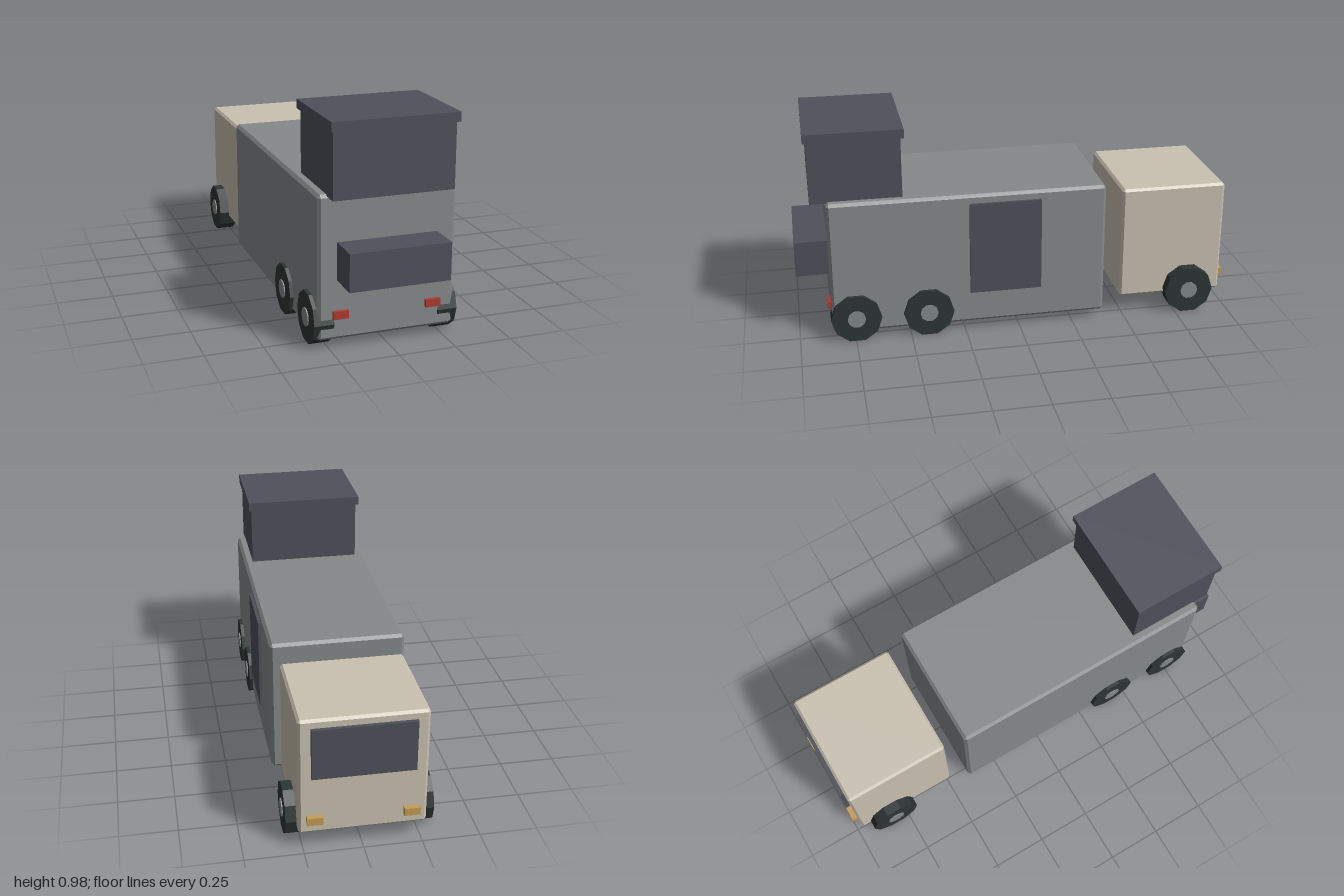
import * as THREE from 'three';
import { ConvexGeometry } from 'three/addons/geometries/ConvexGeometry.js';

const material = (name, color) => {
  const m = new THREE.MeshStandardMaterial({ color });
  m.name = name;
  return m;
};

export function createModel() {
  const model = new THREE.Group();
  model.name = 'truck';

  const grey = material('body grey', 0x868a8b);
  const cream = material('cab cream', 0xcac2b2);
  const slate = material('dark slate', 0x4e515b);
  const rubber = material('tyre rubber', 0x2d3635);
  const red = material('tail light red', 0xad3a31);
  const amber = material('headlight amber', 0xc49c54);

  const add = (name, geometry, mat) => {
    const mesh = new THREE.Mesh(geometry, mat);
    mesh.name = name;
    model.add(mesh);
    return mesh;
  };

  // Plain box given by its extents on each axis
  const box = (name, mat, [x0, x1], [y0, y1], [z0, z1]) => {
    const mesh = add(name, new THREE.BoxGeometry(x1 - x0, y1 - y0, z1 - z0), mat);
    mesh.position.set((x0 + x1) / 2, (y0 + y1) / 2, (z0 + z1) / 2);
    return mesh;
  };

  // Box with every edge chamfered: each corner becomes three points
  const chamferBox = (name, mat, w, [y0, y1], [z0, z1], c) => {
    const half = [w / 2, (y1 - y0) / 2, (z1 - z0) / 2];
    const points = [];
    for (const sx of [-1, 1]) for (const sy of [-1, 1]) for (const sz of [-1, 1])
      for (let full = 0; full < 3; full++) {
        const p = [sx, sy, sz].map((s, i) => s * (half[i] - (i === full ? 0 : c)));
        points.push(new THREE.Vector3(...p));
      }
    const mesh = add(name, new ConvexGeometry(points), mat);
    mesh.position.set(0, (y0 + y1) / 2, (z0 + z1) / 2);
  };

  // Main body and separate cab
  chamferBox('body', grey, 0.6, [0.038, 0.662], [-0.4, 0.853], 0.013);
  chamferBox('cab', cream, 0.54, [0.082, 0.62], [-0.975, -0.487], 0.011);

  // Roof hopper with its lid
  box('hopper', slate, [-0.26, 0.26], [0.655, 0.936], [0.515, 0.92]);
  box('hopperLid', slate, [-0.272, 0.272], [0.936, 0.976], [0.5, 0.933]);

  // Box on the front face, side door and windscreen
  box('serviceBox', slate, [-0.218, 0.218], [0.298, 0.46], [0.84, 1]);
  box('sideDoor', slate, [0.29, 0.313], [0.19, 0.622], [-0.1, 0.226]);
  box('windscreen', slate, [-0.217, 0.217], [0.353, 0.582], [-0.992, -0.965]);

  // Lights at both ends
  for (const s of [-1, 1]) {
    const xs = s > 0 ? [0.17, 0.237] : [-0.237, -0.17];
    box('tailLight', red, xs, [0.132, 0.166], [0.845, 0.868]);
    box('headlight', amber, xs, [0.136, 0.17], [-1, -0.965]);
  }

  // Ten-sided wheels with hubs, their flat sides on the ground
  const tyreGeo = new THREE.CylinderGeometry(0.1145, 0.1145, 0.086, 10).rotateZ(Math.PI / 2).toNonIndexed();
  const hubGeo = new THREE.CylinderGeometry(0.041, 0.041, 0.092, 10).rotateZ(Math.PI / 2).toNonIndexed();
  for (const geo of [tyreGeo, hubGeo]) geo.computeVertexNormals();
  for (const z of [0.745, 0.417, -0.812]) for (const s of [-1, 1]) {
    const tyre = add('tyre', tyreGeo, rubber);
    tyre.position.set(s * 0.273, 0.109, z);
    const hub = add('hub', hubGeo, grey);
    hub.position.set(s * 0.275, 0.109, z);
    // Put a corner at each end of the horizontal diameter
    tyre.rotation.x = hub.rotation.x = 0;
  }

  return model;
}
